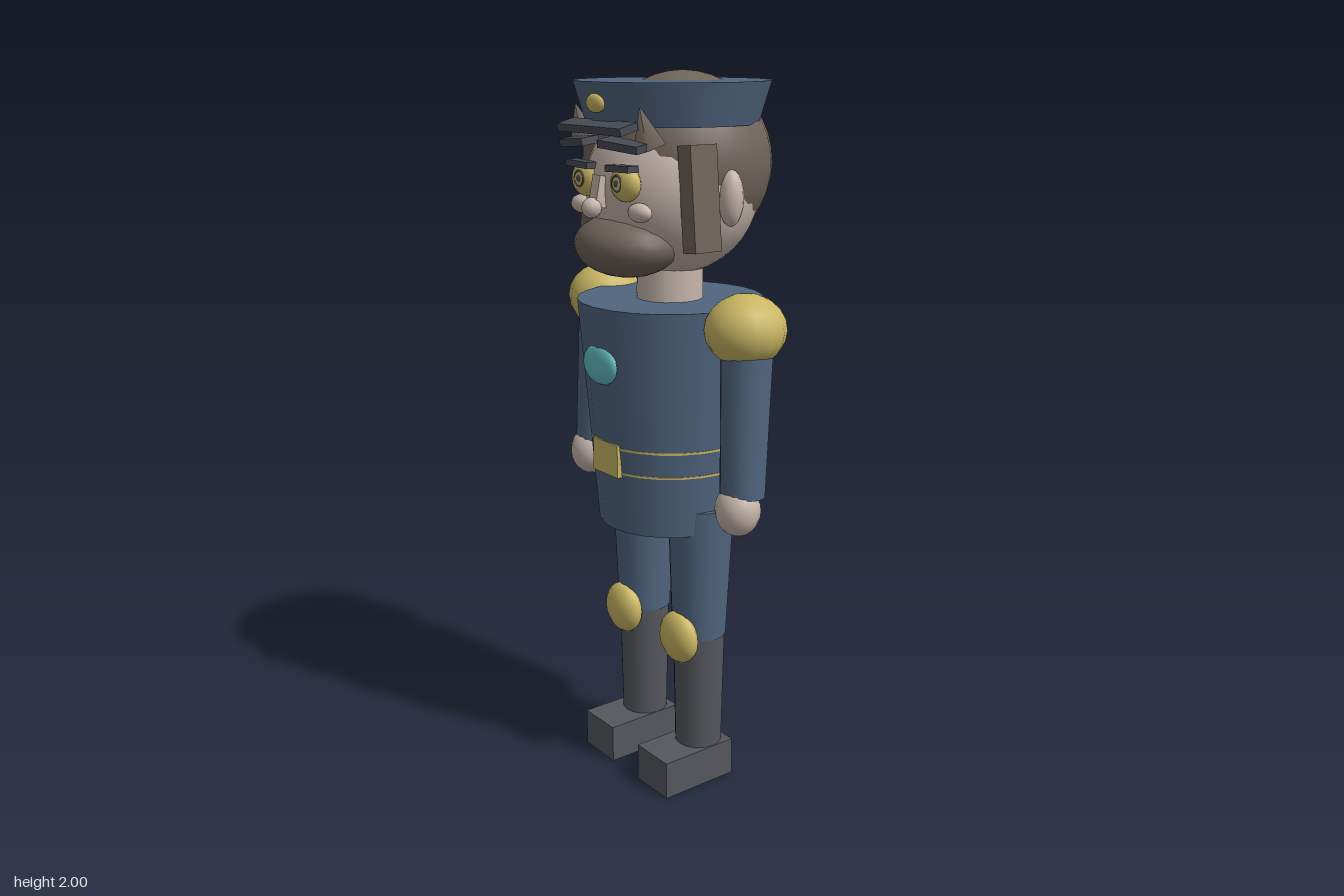
import * as THREE from 'three';

const mat = (name, color) => {
  const m = new THREE.MeshStandardMaterial({ color });
  m.name = name;
  return m;
};

export function createModel() {
  const root = new THREE.Group();
  root.name = 'uniformedFigure';

  const blue = mat('uniform blue', 0x50657f);
  const gold = mat('gold', 0xcab664);
  const skin = mat('skin', 0xc6b5ab);
  const hair = mat('hair brown', 0x6e645a);
  const boot = mat('boot grey', 0x55575d);
  const dark = mat('dark trim', 0x484b55);
  const teal = mat('teal gem', 0x62bcc4);

  const add = (name, geo, m, x, y, z) => {
    const mesh = new THREE.Mesh(geo, m);
    mesh.name = name;
    mesh.position.set(x, y, z);
    root.add(mesh);
    return mesh;
  };
  // Ellipsoid from centre and three radii
  const ball = (name, m, [x, y, z], [rx, ry, rz], w = 18, h = 12) =>
    add(name, new THREE.SphereGeometry(1, w, h).scale(rx, ry, rz), m, x, y, z);
  const box = (name, m, [x, y, z], [w, h, d]) =>
    add(name, new THREE.BoxGeometry(w, h, d), m, x, y, z);
  // Tapered cylinder between two points
  const limb = (name, m, a, b, ra, rb, sides = 16) => {
    const A = new THREE.Vector3(...a), B = new THREE.Vector3(...b);
    const dir = A.clone().sub(B);
    const c = A.clone().add(B).multiplyScalar(0.5);
    const mesh = add(name, new THREE.CylinderGeometry(ra, rb, dir.length(), sides), m, c.x, c.y, c.z);
    mesh.quaternion.setFromUnitVectors(new THREE.Vector3(0, 1, 0), dir.normalize());
    return mesh;
  };

  // Torso with two thin belt lines, buckle and brooch
  const torsoTop = 1.4, torsoBottom = 0.77, rTop = 0.256, rBottom = 0.203;
  const torsoRadius = y => rBottom + (rTop - rBottom) * (y - torsoBottom) / (torsoTop - torsoBottom);
  limb('torso', blue, [0, torsoTop, -0.003], [0, torsoBottom, -0.003], rTop, rBottom, 24);
  for (const y of [0.945, 1.015]) {
    const r = torsoRadius(y) + 0.002;
    add('beltLine', new THREE.CylinderGeometry(r, r, 0.006, 24), gold, 0, y, -0.003);
  }
  box('buckle', gold, [0, 0.98, 0.205], [0.114, 0.092, 0.034]);
  ball('brooch', teal, [0, 1.243, 0.234], [0.078, 0.055, 0.02], 10, 8);

  // Head, hair and neck
  limb('neck', skin, [0, 1.52, 0], [0, 1.38, 0], 0.09, 0.092);
  ball('head', skin, [0, 1.7, -0.01], [0.235, 0.235, 0.235], 28, 20);
  ball('hair', hair, [0, 1.76, -0.043], [0.242, 0.24, 0.24], 28, 20);

  // Cap with badge and peak
  const cap = add('cap', new THREE.CylinderGeometry(0.263, 0.23, 0.11, 18), blue, 0, 1.92, -0.01);
  cap.rotation.y = Math.PI / 2;
  ball('capBadge', gold, [0, 1.922, 0.236], [0.038, 0.025, 0.016], 12, 8);
  box('capPeak', dark, [0, 1.863, 0.235], [0.284, 0.02, 0.055]).rotation.x = 0.25;

  // Face centre
  box('noseBridge', skin, [0, 1.7, 0.225], [0.034, 0.08, 0.04]).rotation.x = -0.2;
  ball('noseTip', skin, [0, 1.66, 0.253], [0.027, 0.027, 0.027], 12, 8);
  ball('moustache', hair, [0, 1.556, 0.145], [0.158, 0.085, 0.13], 22, 14);

  for (const s of [-1, 1]) {
    // Eyes and brows
    ball('eye', gold, [s * 0.088, 1.725, 0.208], [0.054, 0.046, 0.03], 16, 10);
    add('irisRing', new THREE.TorusGeometry(0.02, 0.003, 6, 16), dark, s * 0.085, 1.727, 0.234);
    ball('pupil', dark, [s * 0.085, 1.727, 0.236], [0.009, 0.009, 0.004], 10, 6);
    const lid = box('eyelid', dark, [s * 0.09, 1.764, 0.222], [0.1, 0.017, 0.035]);
    lid.rotation.z = s * 0.03;
    const brow = box('brow', dark, [s * 0.1, 1.822, 0.222], [0.14, 0.02, 0.05]);
    brow.rotation.set(0.15, s * 0.15, -s * 0.1);
    // Hair tufts beside the peak
    const tuft = add('hairTuft', new THREE.ConeGeometry(0.042, 0.105, 4), hair, s * 0.143, 1.868, 0.188);
    tuft.rotation.set(0.3, Math.PI / 4, 0);

    // Cheeks, ears and sideburns
    ball('cheek', skin, [s * 0.13, 1.655, 0.195], [0.042, 0.025, 0.025], 12, 8);
    ball('ear', skin, [s * 0.238, 1.687, -0.015], [0.034, 0.073, 0.033], 14, 10);
    box('sideburn', hair, [s * 0.222, 1.69, 0.074], [0.052, 0.268, 0.085]).rotation.z = s * 0.09;

    // Arms
    ball('shoulder', gold, [s * 0.315, 1.358, -0.005], [0.107, 0.096, 0.109], 14, 10);
    limb('arm', blue, [s * 0.325, 1.36, -0.002], [s * 0.341, 0.92, 0.02], 0.07, 0.06);
    ball('hand', skin, [s * 0.343, 0.885, 0.037], [0.064, 0.071, 0.06], 16, 12);

    // Legs, knee guards, boots and feet
    limb('thigh', blue, [s * 0.134, 0.838, -0.006], [s * 0.131, 0.45, -0.004], 0.093, 0.077);
    ball('kneeGuard', gold, [s * 0.133, 0.452, 0.07], [0.074, 0.075, 0.04], 16, 12);
    limb('bootShaft', boot, [s * 0.131, 0.452, -0.004], [s * 0.131, 0.1, -0.004], 0.074, 0.067);
    box('foot', boot, [s * 0.132, 0.055, 0.045], [0.138, 0.11, 0.24]);
  }
  return root;
}
